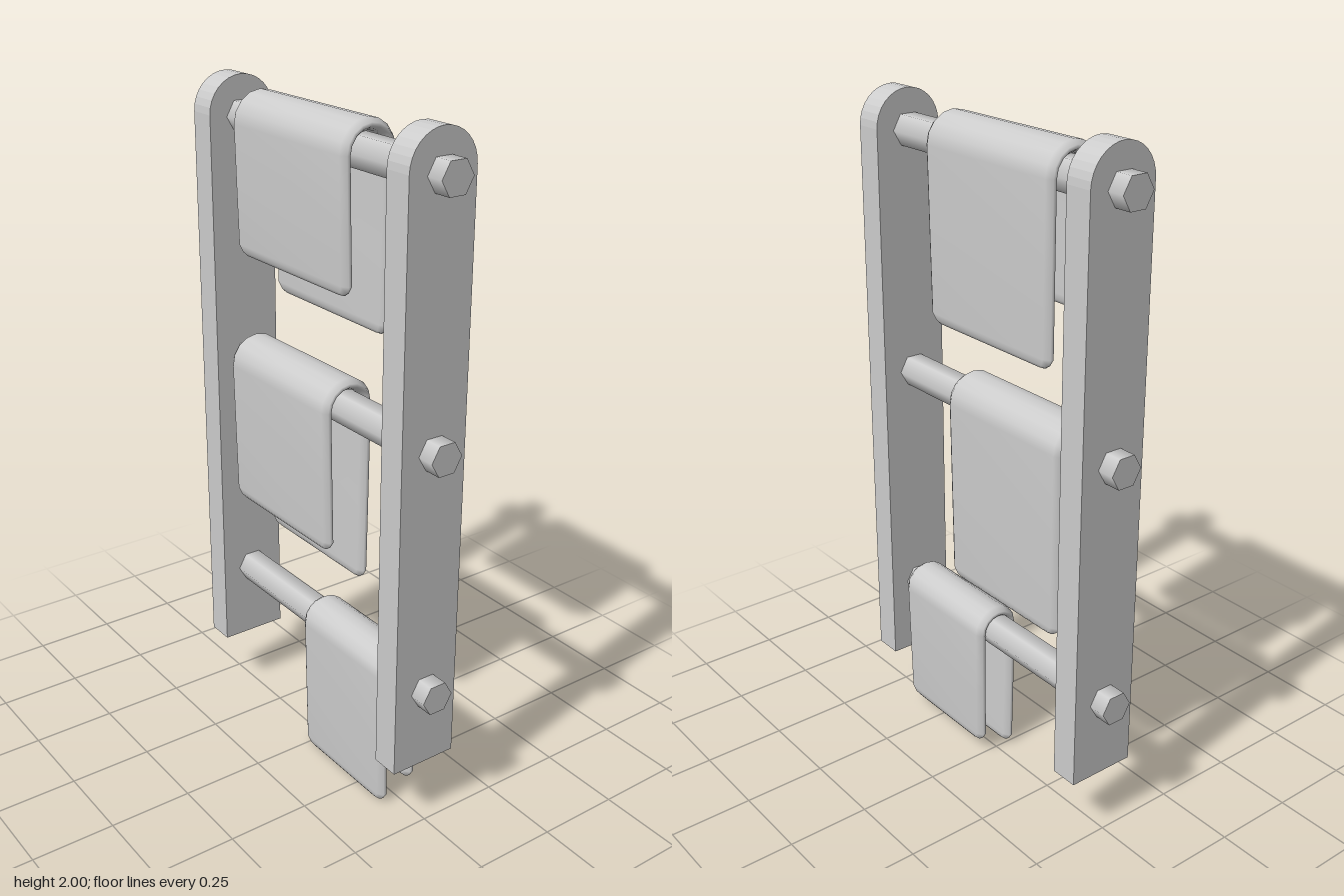
import * as THREE from 'three';

const grey = new THREE.MeshStandardMaterial({ color: 0xcccccc });
const greyFlat = new THREE.MeshStandardMaterial({ color: 0xcccccc, flatShading: true });

// Upright board with a round top
function makeRail(x) {
  const r = 0.105, shape = new THREE.Shape();
  shape.moveTo(-r, 0.195);
  shape.lineTo(r, 0.195);
  shape.lineTo(r, 2 - r);
  shape.absarc(0, 2 - r, r, 0, Math.PI, false);
  shape.closePath();
  const geo = new THREE.ExtrudeGeometry(shape, { depth: 0.085, bevelEnabled: false, curveSegments: 8 });
  geo.translate(0, 0, -0.0425).rotateY(Math.PI / 2);
  const rail = new THREE.Mesh(geo, greyFlat);
  rail.position.x = x;
  return rail;
}

// Thick cloth folded over a rod: a chamfered section swept along an upside-down U
function makeTowel({ left, right, rodY, radius, front, back }) {
  const thick = 0.034, mid = radius - thick / 2, lean = 0.008;
  const stations = []; // y, z, outward normal (ny, nz), thickness scale, side inset, left shift
  const drop = (end, side, shift) => [
    [end, side * (mid - lean), 0, side, 0.35, 0.026, shift],
    [end + 0.01, side * (mid - lean), 0, side, 0.75, 0.012, shift],
    [end + 0.03, side * (mid - lean), 0, side, 1, 0, shift],
    [(end + rodY) / 2, side * (mid - lean / 2), 0, side, 1, 0, shift / 2],
  ];
  stations.push(...drop(front, 1, 0));
  const steps = 8;
  for (let i = 0; i <= steps; i++) {
    const a = (i / steps) * Math.PI;
    stations.push([rodY + mid * Math.sin(a), mid * Math.cos(a), Math.sin(a), Math.cos(a), 1, 0, 0]);
  }
  stations.push(...drop(back, -1, 0.009).reverse());

  const pos = [], idx = [], n = 8;
  for (const [y, z, ny, nz, scale, inset, shift] of stations) {
    const l = left + inset + shift, r = right - inset, h = (thick / 2) * scale, e = h * 0.3, c = 0.018;
    const ring = [[r, -e], [r, e], [r - c, h], [l + c, h], [l, e], [l, -e], [l + c, -h], [r - c, -h]];
    for (const [x, d] of ring) pos.push(x, y + ny * d, z + nz * d);
  }
  const last = (stations.length - 1) * n;
  for (let i = 0; i < last; i += n) {
    for (let j = 0; j < n; j++) {
      const k = (j + 1) % n;
      idx.push(i + j, i + n + j, i + n + k, i + j, i + n + k, i + k);
    }
  }
  for (let j = 1; j < n - 1; j++) {
    idx.push(0, j, j + 1, last, last + j + 1, last + j);
  }
  const geo = new THREE.BufferGeometry();
  geo.setAttribute('position', new THREE.Float32BufferAttribute(pos, 3));
  geo.setIndex(idx);
  geo.computeVertexNormals();
  return new THREE.Mesh(geo, grey);
}

export function createModel() {
  const group = new THREE.Group();
  const add = (mesh, name) => { mesh.name = name; group.add(mesh); };

  add(makeRail(0.4425), 'leftRail');
  add(makeRail(-0.4425), 'rightRail');

  // Six-sided rods through both rails
  const rodGeo = new THREE.CylinderGeometry(0.05, 0.05, 1.075, 6).rotateZ(Math.PI / 2);
  const rods = { lower: 0.437, middle: 1.162, upper: 1.885 };
  for (const [level, y] of Object.entries(rods)) {
    const rod = new THREE.Mesh(rodGeo, grey);
    rod.position.y = y;
    add(rod, level + 'Rod');
  }

  // One towel on each rod
  add(makeTowel({ left: -0.32, right: 0.205, rodY: rods.upper, radius: 0.088, front: 1.515, back: 1.385 }), 'upperTowel');
  add(makeTowel({ left: -0.365, right: 0.122, rodY: rods.middle, radius: 0.085, front: 0.73, back: 0.602 }), 'middleTowel');
  add(makeTowel({ left: -0.012, right: 0.377, rodY: rods.lower, radius: 0.074, front: 0, back: 0.04 }), 'lowerTowel');
  return group;
}
